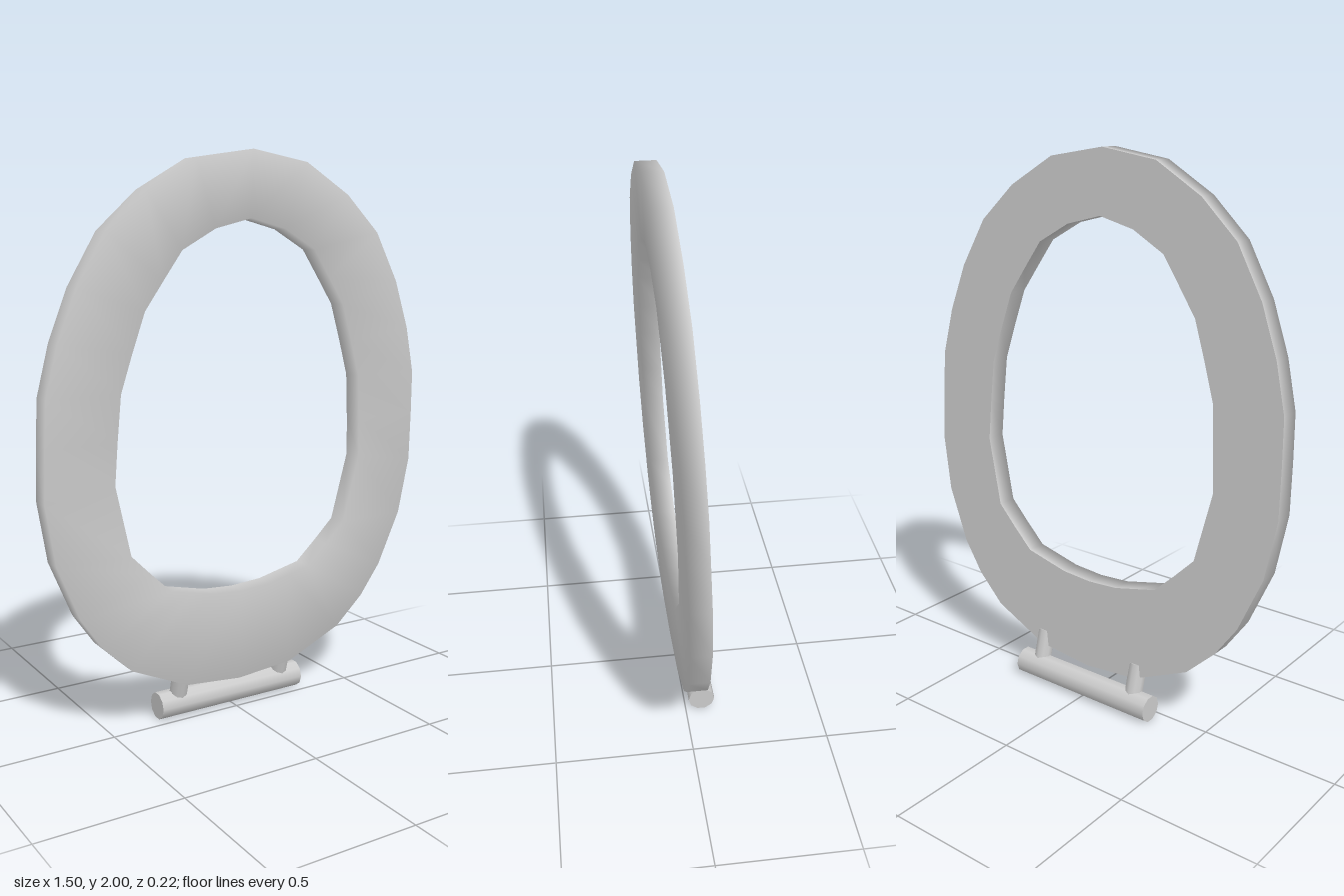
import * as THREE from 'three';

// Half outlines of the ring, top to bottom, paired point for point
const OUTER = [[0, 2], [0.22, 1.965], [0.4, 1.86], [0.54, 1.73], [0.64, 1.555], [0.705, 1.38], [0.745, 1.21],
  [0.75, 1.05], [0.752, 0.87], [0.715, 0.66], [0.63, 0.46], [0.55, 0.345], [0.44, 0.24], [0.22, 0.14], [0, 0.12]];
const INNER = [[0, 1.775], [0.14, 1.74], [0.265, 1.67], [0.335, 1.57], [0.4, 1.475], [0.445, 1.34], [0.485, 1.21],
  [0.497, 1.05], [0.505, 0.905], [0.445, 0.655], [0.37, 0.58], [0.29, 0.505], [0.205, 0.485], [0.12, 0.465], [0, 0.457]];

const THICKNESS = 0.073;
const frontZ = (y) => 0.022 + (y - 0.12) * 0.046; // the ring leans forward

// Close a half outline by mirroring it across x = 0
const mirror = (half) => [...half, ...half.slice(1, -1).reverse().map(([x, y]) => [-x, y])];

// Closed outline placed on the front or back plane
const loop = (half, back) => mirror(half).map(([x, y]) => [x, y, frontZ(y) - (back ? THICKNESS : 0)]);

// Smooth surface through a series of closed loops
function skin(loops) {
  const n = loops[0].length;
  const index = [];
  for (let k = 0; k < loops.length - 1; k++) {
    for (let i = 0; i < n; i++) {
      const j = (i + 1) % n;
      const a = k * n + i, b = a + n, c = (k + 1) * n + j, d = k * n + j;
      index.push(a, b, d, b, c, d);
    }
  }
  const geometry = new THREE.BufferGeometry();
  geometry.setAttribute('position', new THREE.Float32BufferAttribute(loops.flat(2), 3));
  geometry.setIndex(index);
  geometry.computeVertexNormals();
  return geometry;
}

// Cylinder between two points
function rod(from, to, radius, sides) {
  const a = new THREE.Vector3(...from), b = new THREE.Vector3(...to);
  const dir = b.clone().sub(a);
  const geometry = new THREE.CylinderGeometry(radius, radius, dir.length(), sides);
  geometry.applyQuaternion(new THREE.Quaternion().setFromUnitVectors(new THREE.Vector3(0, 1, 0), dir.normalize()));
  const mid = a.add(b).multiplyScalar(0.5);
  return geometry.translate(mid.x, mid.y, mid.z);
}

export function createModel() {
  const group = new THREE.Group();
  group.name = 'seat';
  const material = new THREE.MeshStandardMaterial({ color: 0xcccccc });
  const add = (name, geometry) => {
    const mesh = new THREE.Mesh(geometry, material);
    mesh.name = name;
    group.add(mesh);
  };

  // Ring: soft front and walls, sharp edge to the flat back
  add('seatRing', skin([loop(OUTER, true), loop(OUTER, false), loop(INNER, false), loop(INNER, true)]));
  add('seatBack', skin([loop(INNER, true), loop(OUTER, true)]));

  // Hinge: cross bar and two arms into the ring
  add('hingeBar', rod([-0.3, 0.049, -0.06], [0.3, 0.049, -0.06], 0.049, 10));
  for (const [side, name] of [[1, 'leftHingeArm'], [-1, 'rightHingeArm']]) {
    add(name, rod([side * 0.218, 0.05, -0.06], [side * 0.218, 0.19, -0.022], 0.033, 10));
  }
  return group;
}
